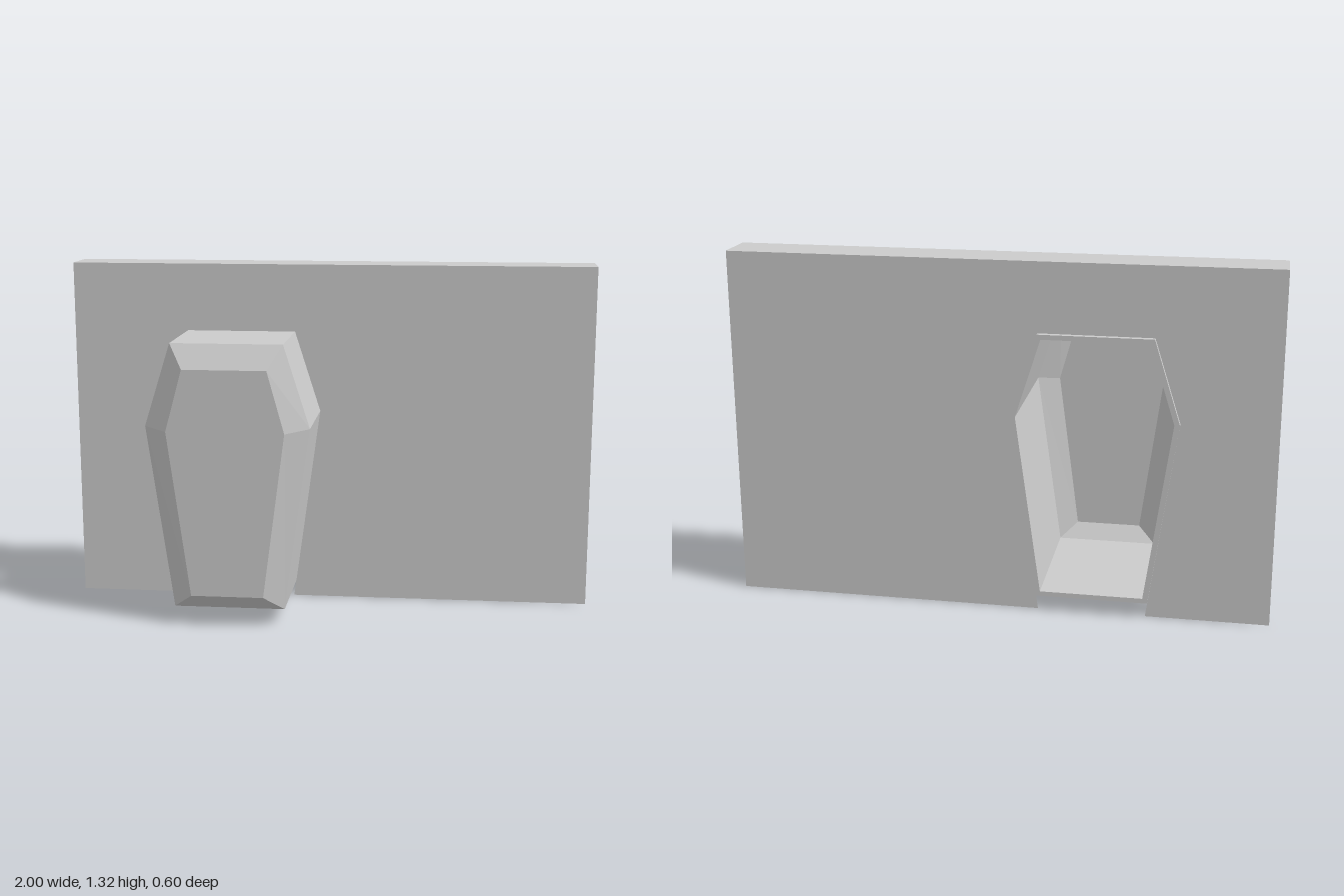
import * as THREE from 'three';

const CX = -0.347; // centre line of the niche

// Six-sided outline, counter-clockwise seen from the front
function ring(z, bottomHalf, bottomY, shoulderHalf, shoulderY, topHalf, topY) {
  return [
    [-bottomHalf, bottomY], [bottomHalf, bottomY], [shoulderHalf, shoulderY],
    [topHalf, topY], [-topHalf, topY], [-shoulderHalf, shoulderY],
  ].map(([x, y]) => new THREE.Vector3(CX + x, y, z));
}

// Faceted skin through a sequence of rings
function loft(rings) {
  const points = [];
  for (let r = 0; r < rings.length - 1; r++) {
    const a = rings[r], b = rings[r + 1];
    for (let i = 0; i < a.length; i++) {
      const j = (i + 1) % a.length;
      points.push(a[i], a[j], b[j], a[i], b[j], b[i]);
    }
  }
  const geometry = new THREE.BufferGeometry().setFromPoints(points);
  geometry.computeVertexNormals();
  return geometry;
}

export function createModel() {
  const group = new THREE.Group();
  const solid = new THREE.MeshStandardMaterial({ color: 0xcccccc, flatShading: true });
  const sheet = new THREE.MeshStandardMaterial({ color: 0xcccccc, side: THREE.DoubleSide });
  const add = (name, geometry, material) => {
    const mesh = new THREE.Mesh(geometry, material);
    mesh.name = name;
    group.add(mesh);
    return mesh;
  };

  const width = 2, height = 1.315, zFront = -0.11, zBack = -0.28;

  // Wall faces, cut out around the niche down to the floor
  const face = new THREE.Shape([
    [-1, 0], [CX - 0.2, 0], [CX - 0.305, 0.75], [CX - 0.208, 1.058],
    [CX + 0.208, 1.058], [CX + 0.305, 0.75], [CX + 0.2, 0],
    [1, 0], [1, height], [-1, height],
  ].map(([x, y]) => new THREE.Vector2(x, y)));
  add('wallFront', new THREE.ShapeGeometry(face), sheet).position.z = zFront;
  add('wallBack', new THREE.ShapeGeometry(face).rotateY(Math.PI).scale(-1, 1, 1), sheet).position.z = zBack;

  // Wall top; the ends and underside stay open
  const top = add('wallTop', new THREE.PlaneGeometry(width, zFront - zBack).rotateX(-Math.PI / 2), sheet);
  top.position.set(0, height, (zFront + zBack) / 2);

  // Hollow niche: inside end, inside walls, back rim, outside walls, bevelled front
  const centre = (z) => ring(z, 0, 0.55, 0, 0.55, 0, 0.55);
  add('nicheShell', loft([
    centre(0.28),
    ring(0.28, 0.125, 0.135, 0.205, 0.74, 0.145, 0.955),
    ring(0.235, 0.19, 0.078, 0.285, 0.75, 0.194, 1.04),
    ring(-0.3, 0.19, 0.078, 0.285, 0.75, 0.194, 1.04),
    ring(-0.3, 0.208, 0.06, 0.305, 0.75, 0.208, 1.058),
    ring(0.243, 0.208, 0.06, 0.305, 0.75, 0.208, 1.058),
    ring(0.3, 0.135, 0.12, 0.218, 0.74, 0.155, 0.97),
    centre(0.3),
  ]), solid);

  return group;
}
